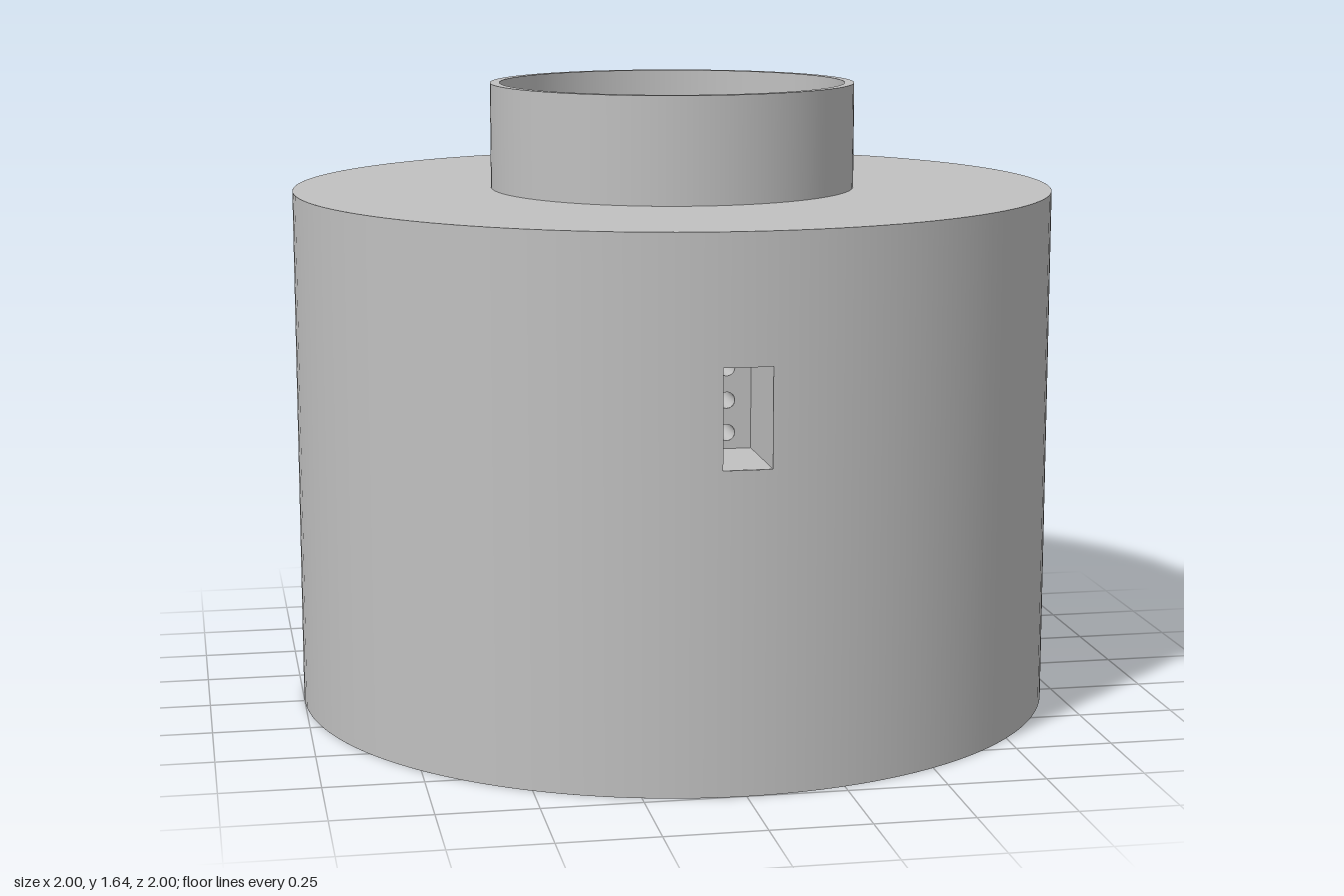
import * as THREE from 'three';

const TOP = 1.365, RIM = 1.64, COLLAR = 0.48, BORE = 0.455, FLOOR = 0.3;

export function createModel() {
  const model = new THREE.Group();
  const grey = new THREE.MeshStandardMaterial({ color: 0xc0c0c0, side: THREE.DoubleSide });
  grey.name = 'plainGrey';

  const add = (name, geometry, parent = model) => {
    const mesh = new THREE.Mesh(geometry, grey);
    mesh.name = name;
    parent.add(mesh);
    return mesh;
  };

  // Open tube standing on y0
  const tube = (r, y0, y1, start = 0, angle = Math.PI * 2) =>
    new THREE.CylinderGeometry(r, r, y1 - y0, Math.max(2, Math.ceil(angle * 18)), 1, true, start, angle)
      .translate(0, (y0 + y1) / 2, 0);

  // Flat plate with circular holes given as [x, y, radius]
  const plate = (shape, holes, segments = 32) => {
    for (const [x, y, r] of holes) shape.holes.push(new THREE.Path().absarc(x, y, r, 0, Math.PI * 2, true));
    return new THREE.ShapeGeometry(shape, segments);
  };
  const rectangle = (x0, x1, y0, y1) => new THREE.Shape([
    new THREE.Vector2(x0, y0), new THREE.Vector2(x1, y0),
    new THREE.Vector2(x1, y1), new THREE.Vector2(x0, y1)]);
  const disc = r => new THREE.Shape().absarc(0, 0, r, 0, Math.PI * 2, false);

  // Keep only some groups of faces of a solid
  const keepFaces = (geometry, wanted) => {
    const index = Array.from(geometry.index.array);
    geometry.setIndex(wanted.flatMap(i => {
      const g = geometry.groups[i];
      return index.slice(g.start, g.start + g.count);
    }));
    geometry.clearGroups();
    return geometry;
  };

  // Blind hole: opens at z = 0, runs towards -z
  const blindHole = (r, depth) =>
    keepFaces(new THREE.CylinderGeometry(r, r, depth, 32), [0, 2])
      .rotateX(Math.PI / 2).translate(0, 0, -depth / 2);

  // Outer wall, split into columns around the openings
  const half = 0.03;
  const openings = [
    { name: 'pocketOpening', angle: 0, half: 0.06, y0: 0.8, y1: 1.045 },
    { name: 'upperSideHole', angle: Math.PI / 2, half, y0: 1.295, y1: 1.355, r: 0.02 },
    { name: 'lowerSideHole', angle: Math.PI * 2 / 3, half, y0: 0.155, y1: 0.215, r: 0.018 },
  ];
  openings.forEach((o, i) => {
    const start = o.angle - o.half, end = o.angle + o.half;
    const next = openings[(i + 1) % openings.length];
    const nextStart = next.angle - next.half + (i === openings.length - 1 ? Math.PI * 2 : 0);
    add('wallBelowOpening', tube(1, 0, o.y0, start, o.half * 2));
    add('wallAboveOpening', tube(1, o.y1, TOP, start, o.half * 2));
    add('bodyWall', tube(1, 0, TOP, end, nextStart - end));
    if (!o.r) return;

    // Small patch with a round hole, bent around the body
    const y = (o.y0 + o.y1) / 2;
    const patch = plate(rectangle(-o.half, o.half, o.y0, o.y1), [[0, y, o.r]]);
    const p = patch.attributes.position, n = patch.attributes.normal;
    for (let k = 0; k < p.count; k++) {
      const a = o.angle + p.getX(k);
      p.setXYZ(k, Math.sin(a), p.getY(k), Math.cos(a));
      n.setXYZ(k, Math.sin(a), 0, Math.cos(a));
    }
    add(o.name + 'Patch', patch);
    const bore = add(o.name, blindHole(o.r, 0.5));
    bore.rotation.y = o.angle;
    bore.position.set(Math.sin(o.angle), y, Math.cos(o.angle));
  });

  // Top shoulder, collar and deep central bore
  add('shoulder', new THREE.RingGeometry(COLLAR, 1, 112).rotateX(-Math.PI / 2).translate(0, TOP, 0));
  add('collar', tube(COLLAR, TOP, RIM));
  add('collarRim', new THREE.RingGeometry(BORE, COLLAR, 112).rotateX(-Math.PI / 2).translate(0, RIM, 0));
  add('boreWall', tube(BORE, FLOOR, RIM));
  add('boreFloor', new THREE.CircleGeometry(BORE, 112).rotateX(-Math.PI / 2).translate(0, FLOOR, 0));

  // Underside with three foot holes
  const feet = [30, 150, 270].map(d => {
    const a = THREE.MathUtils.degToRad(d);
    return [0.316 * Math.cos(a), 0.316 * Math.sin(a), 0.09];
  });
  add('underside', plate(disc(1), feet, 112).rotateX(Math.PI / 2));
  for (const [x, z, r] of feet)
    add('footHole', blindHole(r, 0.2).rotateX(Math.PI / 2).translate(x, 0, z));

  // Front pocket with connector holes in its back wall
  const pocket = new THREE.Group();
  pocket.name = 'frontPocket';
  model.add(pocket);
  const back = 0.74, front = 0.998;
  add('pocketSides', keepFaces(new THREE.BoxGeometry(0.12, 0.245, front - back), [0, 1, 2, 3])
    .translate(0, 0.9225, (front + back) / 2), pocket);
  const sockets = [[0, 0.84, 0.02], [0, 0.92, 0.02], [0, 1.0, 0.02], [0, 1.033, 0.01], [0.042, 1.022, 0.009]];
  add('pocketBack', plate(rectangle(-0.06, 0.06, 0.8, 1.045), sockets).translate(0, 0, back), pocket);
  for (const [x, y, r] of sockets)
    add('socketHole', blindHole(r, 0.2).translate(x, y, back), pocket);

  return model;
}
